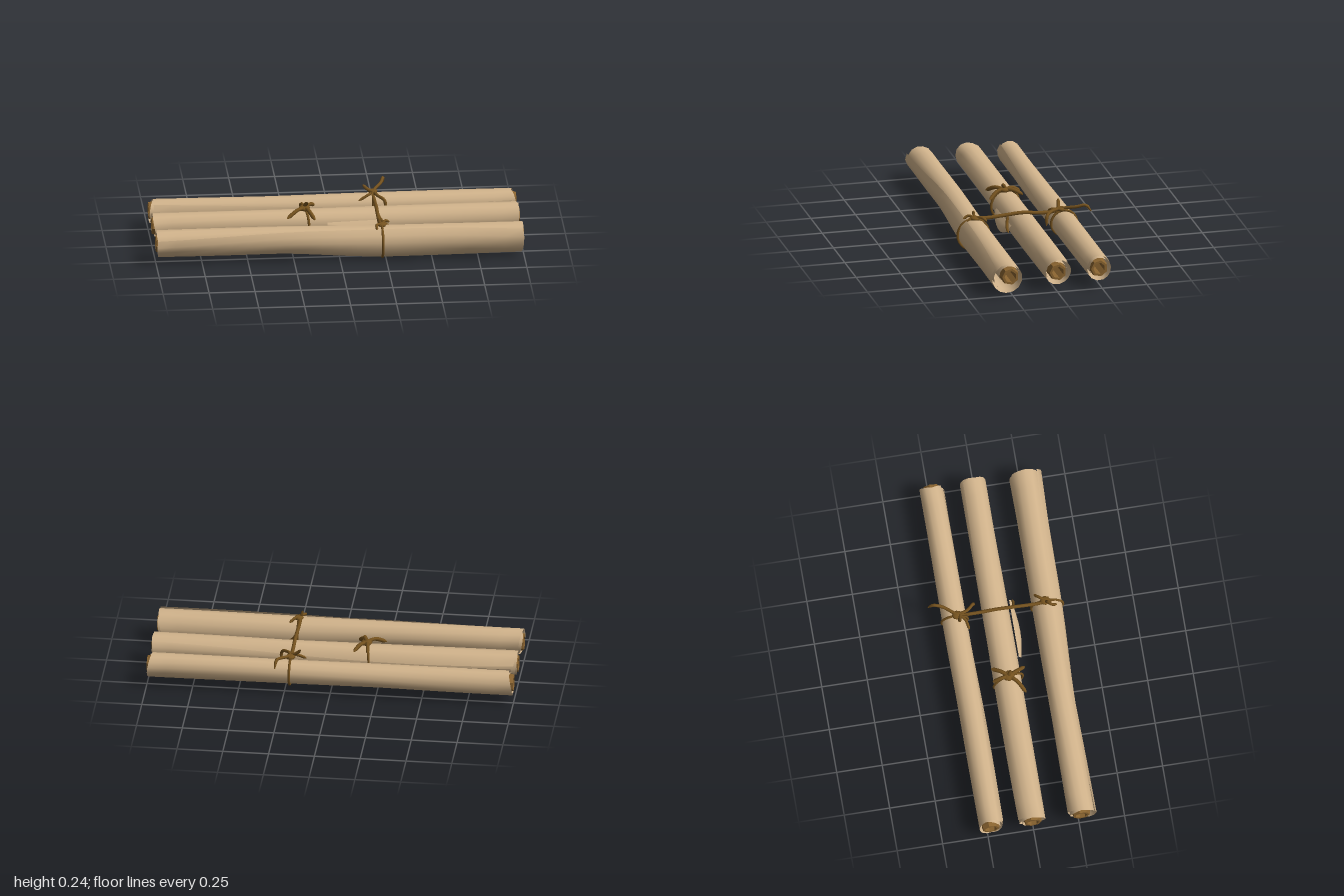
import * as THREE from 'three';

const parchment = new THREE.MeshStandardMaterial({ color: 0xd2b48c, side: THREE.DoubleSide });
parchment.name = 'parchment';
const innerRoll = new THREE.MeshStandardMaterial({ color: 0x8a6430, side: THREE.DoubleSide });
innerRoll.name = 'aged inner parchment';
const leather = new THREE.MeshStandardMaterial({ color: 0x76531f, side: THREE.DoubleSide });
leather.name = 'leather cord';

const lerp = THREE.MathUtils.lerp;

// Grid surface from a function of u and v, both 0..1
function surface(fn, nu, nv) {
  const pos = [], idx = [];
  for (let i = 0; i <= nu; i++)
    for (let j = 0; j <= nv; j++) pos.push(...fn(i / nu, j / nv));
  for (let i = 0; i < nu; i++)
    for (let j = 0; j < nv; j++) {
      const a = i * (nv + 1) + j, b = a + nv + 1;
      idx.push(a, b, b + 1, a, b + 1, a + 1);
    }
  const g = new THREE.BufferGeometry();
  g.setAttribute('position', new THREE.Float32BufferAttribute(pos, 3));
  g.setIndex(idx);
  g.computeVertexNormals();
  return g;
}

function addMesh(parent, name, geo, mat) {
  const m = new THREE.Mesh(geo, mat);
  m.name = name;
  parent.add(m);
  return m;
}

// Rolled sheet: spiral cross-section swept along x, around a hollow core
function scroll(o) {
  const g = new THREE.Group();
  g.name = o.name;
  const turns = 2.2;
  const sheet = surface((u, s) => {
    const side = u * 2 - 1;
    const x = side * (0.985 - 0.012 * Math.sin(s * 17 + o.seed));
    const k = THREE.MathUtils.smoothstep(u, 0.3, 0.65);
    const R = lerp(o.r[0], o.r[1], k);
    const full = Math.min(1, s * 1.7);
    const lift = s > 0.96 ? o.lift * Math.abs(side) : 0;
    const wob = 0.003 * s * Math.sin(s * 31 + x * 2 + o.seed);
    const r = lerp(0.052, R - 0.003, full) + 0.003 * s + wob + lift;
    const a = o.seam + (s - 1) * turns * Math.PI * 2 + 0.35 * Math.sin(x * 2 + o.seed) * s;
    const cy = lerp(o.coreY, lerp(o.y[0], o.y[1], k), full);
    const cz = lerp(o.coreZ, lerp(o.z[0], o.z[1], k), full);
    return [x, cy + r * Math.sin(a), cz + r * Math.cos(a)];
  }, 20, 30);
  addMesh(g, 'rolledSheet', sheet, parchment);

  // Inner roll: ring profile turned around the long axis
  const profile = [[0.033, -1], [0.046, -1], [0.05, -0.98], [0.05, 0.98], [0.046, 1], [0.033, 1], [0.033, -1]];
  const core = new THREE.LatheGeometry(profile.map(p => new THREE.Vector2(...p)), 7);
  core.rotateZ(-Math.PI / 2);
  core.translate(0, o.coreY, o.coreZ);
  addMesh(g, 'innerRoll', core.toNonIndexed(), innerRoll).geometry.computeVertexNormals();
  return g;
}

// Cord through points, tapered at both ends unless closed
function cord(parent, name, pts, r = 0.008, closed = false) {
  const curve = new THREE.CatmullRomCurve3(pts.map(p => new THREE.Vector3(...p)), closed);
  const n = closed ? 28 : 14, sides = 6;
  const geo = new THREE.TubeGeometry(curve, n, r, sides, closed);
  if (!closed) {
    const p = geo.attributes.position, v = new THREE.Vector3();
    for (let i = 0; i <= n; i++) {
      const c = curve.getPointAt(i / n);
      const t = Math.min(1, 0.3 + Math.min(i, n - i) * 0.35);
      for (let j = 0; j <= sides; j++) {
        const q = i * (sides + 1) + j;
        v.fromBufferAttribute(p, q).sub(c).multiplyScalar(t).add(c);
        p.setXYZ(q, v.x, v.y, v.z);
      }
    }
  }
  return addMesh(parent, name, geo, leather);
}

// Loop of cord around a scroll
function binding(parent, name, x, y, z, r, skew = 0) {
  const pts = [];
  for (let i = 0; i < 12; i++) {
    const a = i / 12 * Math.PI * 2;
    pts.push([x + skew * Math.cos(a), y + r * Math.sin(a), z + r * Math.cos(a)]);
  }
  return cord(parent, name, pts, 0.007, true);
}

function knot(parent, name, x, y, z, size) {
  const k = addMesh(parent, name, new THREE.SphereGeometry(size, 8, 6), leather);
  k.position.set(x, y, z);
  k.scale.set(1.2, 0.6, 1.3);
}

export function createModel() {
  const model = new THREE.Group();
  model.name = 'tiedScrolls';

  // Three scrolls, front to back
  [
    { name: 'frontScroll', coreY: 0.112, coreZ: 0.263, y: [0.115, 0.098], z: [0.265, 0.276], r: [0.074, 0.086], seam: 0.75, lift: 0.01, seed: 1 },
    { name: 'middleScroll', coreY: 0.115, coreZ: -0.003, y: [0.113, 0.112], z: [-0.006, -0.008], r: [0.074, 0.074], seam: 2.7, lift: 0.004, seed: 2.4 },
    { name: 'backScroll', coreY: 0.117, coreZ: -0.234, y: [0.115, 0.115], z: [-0.23, -0.235], r: [0.067, 0.068], seam: 0.5, lift: 0.003, seed: 4 },
  ].forEach(o => model.add(scroll(o)));

  // Loose torn strip beside the middle scroll
  addMesh(model, 'looseStrip', surface((u, v) => {
    const w = Math.sin(Math.PI * (0.12 + 0.76 * u));
    return [-0.05 + 0.33 * u, 0.135 - 0.075 * v * w + 0.01 * u, 0.075 + 0.035 * Math.sin(v * 2.2) * w];
  }, 8, 4), parchment);

  const ties = new THREE.Group();
  ties.name = 'ties';
  model.add(ties);

  // Loops around each scroll
  binding(ties, 'frontBinding', 0.23, 0.097, 0.276, 0.088);
  binding(ties, 'backBinding', 0.22, 0.116, -0.234, 0.072);
  binding(ties, 'middleBinding', -0.17, 0.111, -0.003, 0.083, 0.02);

  // Cord joining the scrolls across the top
  cord(ties, 'joiningCord', [[0.22, 0.188, 0.3], [0.22, 0.182, 0.2], [0.22, 0.188, 0.1], [0.22, 0.195, 0], [0.22, 0.185, -0.1], [0.22, 0.185, -0.17], [0.22, 0.192, -0.23]], 0.01);

  // Knot and tails on the back scroll
  knot(ties, 'backKnot', 0.22, 0.197, -0.22, 0.022);
  cord(ties, 'backLongTail', [[0.21, 0.195, -0.16], [0.23, 0.205, -0.23], [0.27, 0.22, -0.29], [0.285, 0.23, -0.34], [0.29, 0.195, -0.368]], 0.009);
  cord(ties, 'backShortTail', [[0.22, 0.2, -0.22], [0.24, 0.195, -0.16], [0.275, 0.18, -0.125], [0.285, 0.13, -0.12]], 0.009);
  cord(ties, 'backLoopTail', [[0.23, 0.195, -0.2], [0.19, 0.215, -0.21], [0.165, 0.238, -0.215]], 0.009);
  cord(ties, 'backSideTail', [[0.22, 0.195, -0.21], [0.19, 0.19, -0.18], [0.14, 0.165, -0.165]], 0.008);

  // Knot and tails on the front scroll
  knot(ties, 'frontKnot', 0.23, 0.187, 0.265, 0.022);
  cord(ties, 'frontTailA', [[0.23, 0.19, 0.27], [0.25, 0.197, 0.235], [0.275, 0.18, 0.21]]);
  cord(ties, 'frontTailB', [[0.23, 0.19, 0.27], [0.2, 0.195, 0.295], [0.2, 0.18, 0.325]]);
  cord(ties, 'frontTailC', [[0.23, 0.185, 0.27], [0.215, 0.205, 0.27], [0.21, 0.225, 0.272]]);

  // Knot and spreading tails on the middle scroll
  knot(ties, 'middleKnot', -0.17, 0.195, 0, 0.026);
  [
    [[-0.14, 0.2, -0.04], [-0.11, 0.18, -0.088]],
    [[-0.18, 0.2, -0.045], [-0.185, 0.175, -0.09]],
    [[-0.21, 0.198, 0.04], [-0.27, 0.165, 0.08]],
    [[-0.15, 0.195, 0.045], [-0.12, 0.16, 0.095]],
    [[-0.165, 0.215, 0.005], [-0.155, 0.23, 0.015]],
  ].forEach((p, i) => cord(ties, 'middleTail' + (i + 1), [[-0.17, 0.195, 0], ...p], 0.011));

  // Cord end resting on the loose strip
  cord(ties, 'stripTail', [[0.22, 0.185, 0.08], [0.24, 0.15, 0.09], [0.26, 0.13, 0.095], [0.29, 0.11, 0.095]]);

  return model;
}
